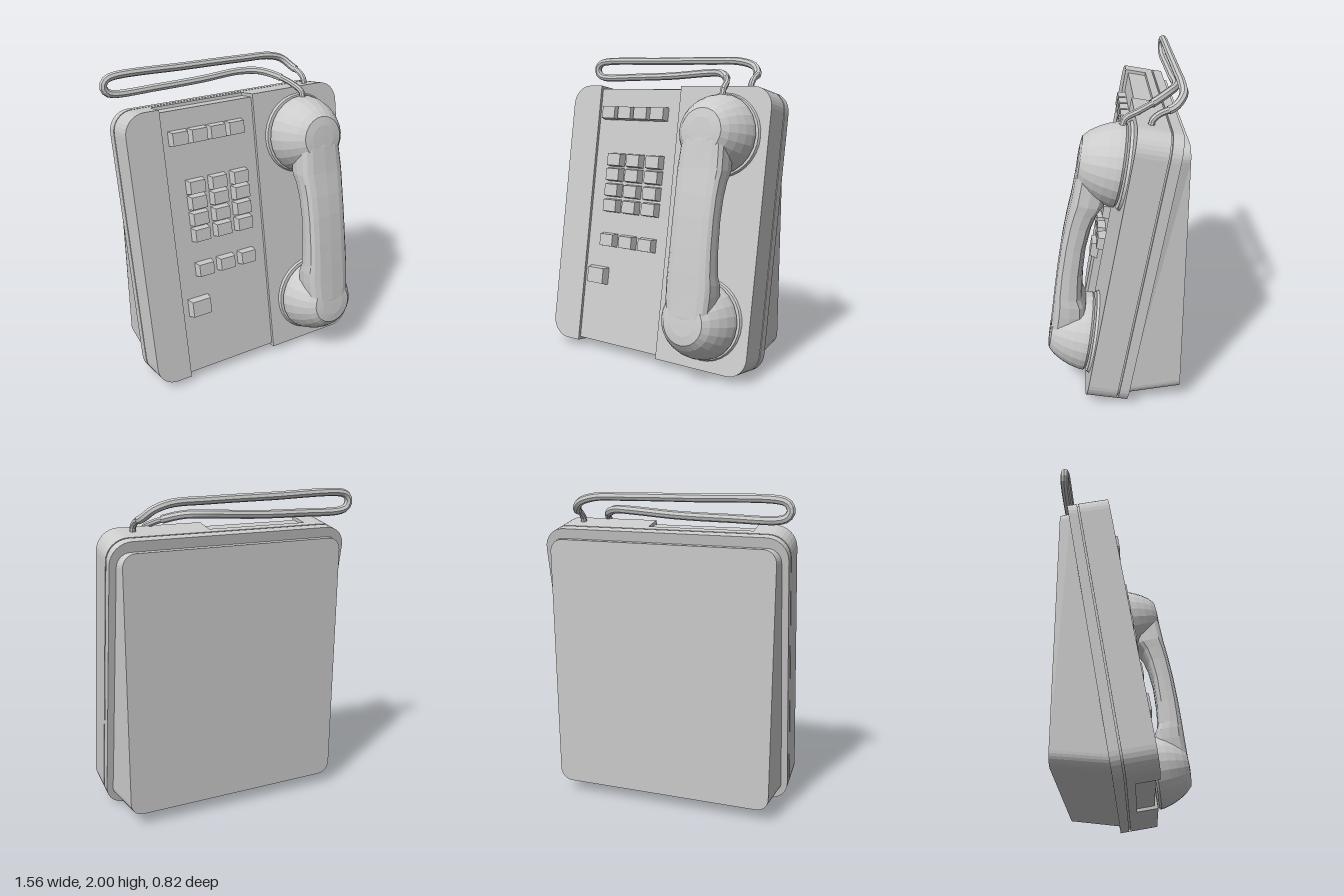
import * as THREE from 'three';

const material = new THREE.MeshStandardMaterial({ color: 0xcccccc, flatShading: true, side: THREE.DoubleSide });

function add(parent, name, geometry) {
  const mesh = new THREE.Mesh(geometry, material);
  mesh.name = name;
  parent.add(mesh);
  return mesh;
}

// Plate with separate corner radii on its -x and +x ends
function plate(x0, x1, y0, y1, rl, rr, z0, z1) {
  const s = new THREE.Shape();
  const q = Math.PI / 2;
  const corner = (x, y, r, a) => (r > 0 ? s.absarc(x, y, r, a, a + q, false) : s.lineTo(x, y));
  s.moveTo(x0 + rl, y0);
  corner(x1 - rr, y0 + rr, rr, -q);
  corner(x1 - rr, y1 - rr, rr, 0);
  corner(x0 + rl, y1 - rl, rl, q);
  corner(x0 + rl, y0 + rl, rl, 2 * q);
  const g = new THREE.ExtrudeGeometry(s, { depth: z1 - z0, bevelEnabled: false, curveSegments: 4 });
  return g.translate(0, 0, z0);
}

// Wedge that fills the space between the leaning case and the upright wall plane
function wedge() {
  const g = plate(-0.71, 0.74, 0.055, 1.705, 0.08, 0.08, 0, 1);
  const p = g.attributes.position;
  for (let i = 0; i < p.count; i++) {
    const x = p.getX(i), y = p.getY(i);
    if (p.getZ(i) > 0.5) {
      p.setZ(i, -0.065 - 0.1717 * y);
    } else {
      p.setXYZ(i, 0.015 + (x - 0.015) * 0.975, y + 0.035 * (1 - y / 1.705), -0.41);
    }
  }
  g.computeVertexNormals();
  return g;
}

// Key that narrows toward its front
function key(w, h) {
  const g = new THREE.BoxGeometry(w, h, 0.055);
  const p = g.attributes.position;
  for (let i = 0; i < p.count; i++) {
    if (p.getZ(i) > 0) p.setXY(i, p.getX(i) * 0.86, p.getY(i) * 0.86);
  }
  return g;
}

// Rounded-rectangle loft; stations are [y, zBack, zFront, halfWidth]
function grip(stations) {
  const n = 16, pos = [], index = [];
  const soft = (v) => Math.sign(v) * Math.pow(Math.abs(v), 0.55);
  stations.forEach(([y, zb, zf, hw]) => {
    for (let j = 0; j < n; j++) {
      const a = (j / n) * Math.PI * 2;
      pos.push(hw * soft(Math.cos(a)), y, (zb + zf) / 2 + ((zf - zb) / 2) * soft(Math.sin(a)));
    }
  });
  for (let i = 0; i < stations.length - 1; i++) {
    for (let j = 0; j < n; j++) {
      const a = i * n + j, b = i * n + ((j + 1) % n);
      index.push(a, a + n, b, b, a + n, b + n);
    }
  }
  const g = new THREE.BufferGeometry();
  g.setAttribute('position', new THREE.Float32BufferAttribute(pos, 3));
  g.setIndex(index);
  g.computeVertexNormals();
  return g;
}

export function createModel() {
  const model = new THREE.Group();
  model.name = 'wallTelephone';

  // Leaning frame: y runs up the face, z points out of it
  const body = new THREE.Group();
  body.name = 'leaningBody';
  body.position.set(0, 0.05, 0.18);
  body.rotation.x = -0.17;
  model.add(body);

  // Case: full back layer, raised sides and recessed middle panel
  const L = -0.75, R = 0.78, H = 1.785, r = 0.13;
  add(body, 'backRim', plate(L, R, 0, H, r, r, -0.255, -0.195));
  add(body, 'seam', plate(L + 0.012, R - 0.012, 0.012, H - 0.012, r, r, -0.196, -0.184));
  add(body, 'caseLayer', plate(L, R, 0, H, r, r, -0.185, -0.135));
  add(body, 'keySide', plate(L, -0.52, 0, H, r, 0, -0.135, 0));
  add(body, 'handsetSide', plate(0.13, R, 0, H, 0, r, -0.135, 0));
  add(body, 'keyPanel', plate(-0.52, 0.13, 0.02, H - 0.02, 0, 0, -0.135, -0.02));
  add(model, 'wallWedge', wedge());

  // Keys
  const keys = new THREE.Group();
  keys.name = 'keys';
  body.add(keys);
  const addKey = (name, x, y, w = 0.12, h = 0.092) =>
    add(keys, name, key(w, h)).position.set(x, (y - 0.05) * 1.0147, 0.0065);
  [-0.415, -0.283, -0.153, -0.02].forEach((x) => addKey('topKey', x, 1.625));
  [-0.335, -0.178, -0.02].forEach((x) => {
    [1.31, 1.21, 1.105, 1.0].forEach((y) => addKey('dialKey', x, y));
    addKey('functionKey', x, 0.767);
  });
  addKey('largeKey', -0.4, 0.52, 0.15, 0.12);

  // Handset: two domed cups on seats, joined by a bowed grip
  const handset = new THREE.Group();
  handset.name = 'handset';
  handset.position.x = 0.465;
  body.add(handset);
  const cup = [[0, 0.025], [0.238, 0.025], [0.25, 0.04], [0.246, 0.07], [0.23, 0.125], [0.205, 0.18],
    [0.172, 0.232], [0.135, 0.268], [0.08, 0.276], [0, 0.277]].map(([x, y]) => new THREE.Vector2(x, y));
  [['earCup', 1.478], ['mouthCup', 0.324]].forEach(([name, y]) => {
    add(handset, name + 'Seat', new THREE.CylinderGeometry(0.255, 0.264, 0.018, 32).rotateX(Math.PI / 2))
      .position.set(0, y, 0.007);
    add(handset, name, new THREE.LatheGeometry(cup, 24).rotateX(Math.PI / 2)).position.set(0, y, 0);
  });
  add(handset, 'grip', grip([
    [0.3, 0.08, 0.27, 0.12], [0.36, 0.07, 0.279, 0.15], [0.5, 0.07, 0.284, 0.16], [0.57, 0.085, 0.287, 0.16],
    [0.62, 0.115, 0.289, 0.154], [0.78, 0.138, 0.294, 0.148], [0.96, 0.146, 0.295, 0.146],
    [1.1, 0.135, 0.291, 0.148], [1.19, 0.115, 0.285, 0.154], [1.25, 0.085, 0.281, 0.16],
    [1.42, 0.07, 0.278, 0.15], [1.5, 0.08, 0.27, 0.12]]));

  // Looped cord from the ear cup to the top of the case
  const path = new THREE.CatmullRomCurve3([
    [0.472, 1.74, -0.05], [0.47, 1.79, -0.065], [0.45, 1.825, -0.14], [0.4, 1.86, -0.23], [0.31, 1.89, -0.32],
    [0.19, 1.893, -0.375], [-0.1, 1.875, -0.385], [-0.4, 1.868, -0.385], [-0.7, 1.868, -0.385],
    [-0.742, 1.886, -0.385], [-0.758, 1.922, -0.385], [-0.742, 1.958, -0.385], [-0.7, 1.976, -0.385],
    [-0.2, 1.976, -0.385], [0.2, 1.972, -0.385], [0.42, 1.965, -0.385], [0.52, 1.935, -0.38],
    [0.57, 1.885, -0.33], [0.585, 1.855, -0.25], [0.588, 1.82, -0.21], [0.588, 1.77, -0.2],
  ].map((p) => new THREE.Vector3(...p)), false, 'centripetal');
  const cord = new THREE.Group();
  cord.name = 'cord';
  model.add(cord);
  add(cord, 'cordCore', new THREE.TubeGeometry(path, 120, 0.019, 8));
  const middle = new THREE.CatmullRomCurve3(path.getSpacedPoints(120).slice(9, 115), false, 'centripetal');
  add(cord, 'cordSleeve', new THREE.TubeGeometry(middle, 110, 0.025, 8));
  return model;
}
